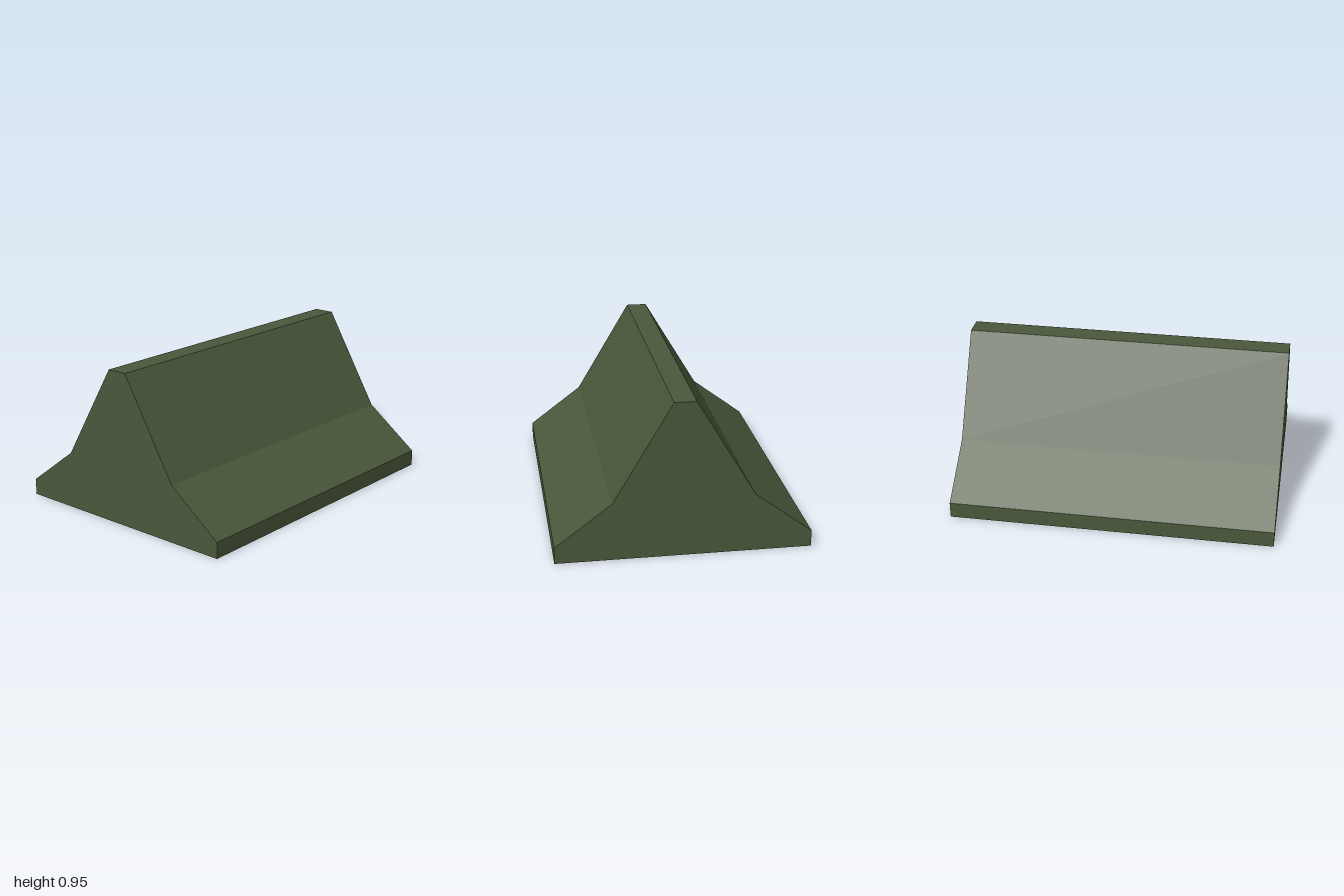
import * as THREE from 'three';

const olive = new THREE.MeshStandardMaterial({ name: 'olive green', color: 0x4a583b });

export function createModel() {
  const group = new THREE.Group();
  group.name = 'roadBarrier';

  // Half cross-section from the foot to the crest: [offset, height]
  const half = [[0.76, 0], [0.76, 0.1], [0.42, 0.355], [0.065, 0.95]];
  const mirrored = half.map(([d, y]) => [-d, y]).reverse();
  const profile = new THREE.Shape([...half, ...mirrored].map(([d, y]) => new THREE.Vector2(d, y)));

  // Solid barrier body, extruded along x
  const length = 2;
  const geometry = new THREE.ExtrudeGeometry(profile, { depth: length, bevelEnabled: false });
  geometry.translate(0, 0, -length / 2);
  geometry.rotateY(Math.PI / 2);

  const body = new THREE.Mesh(geometry, olive);
  body.name = 'barrierBody';
  group.add(body);
  return group;
}
